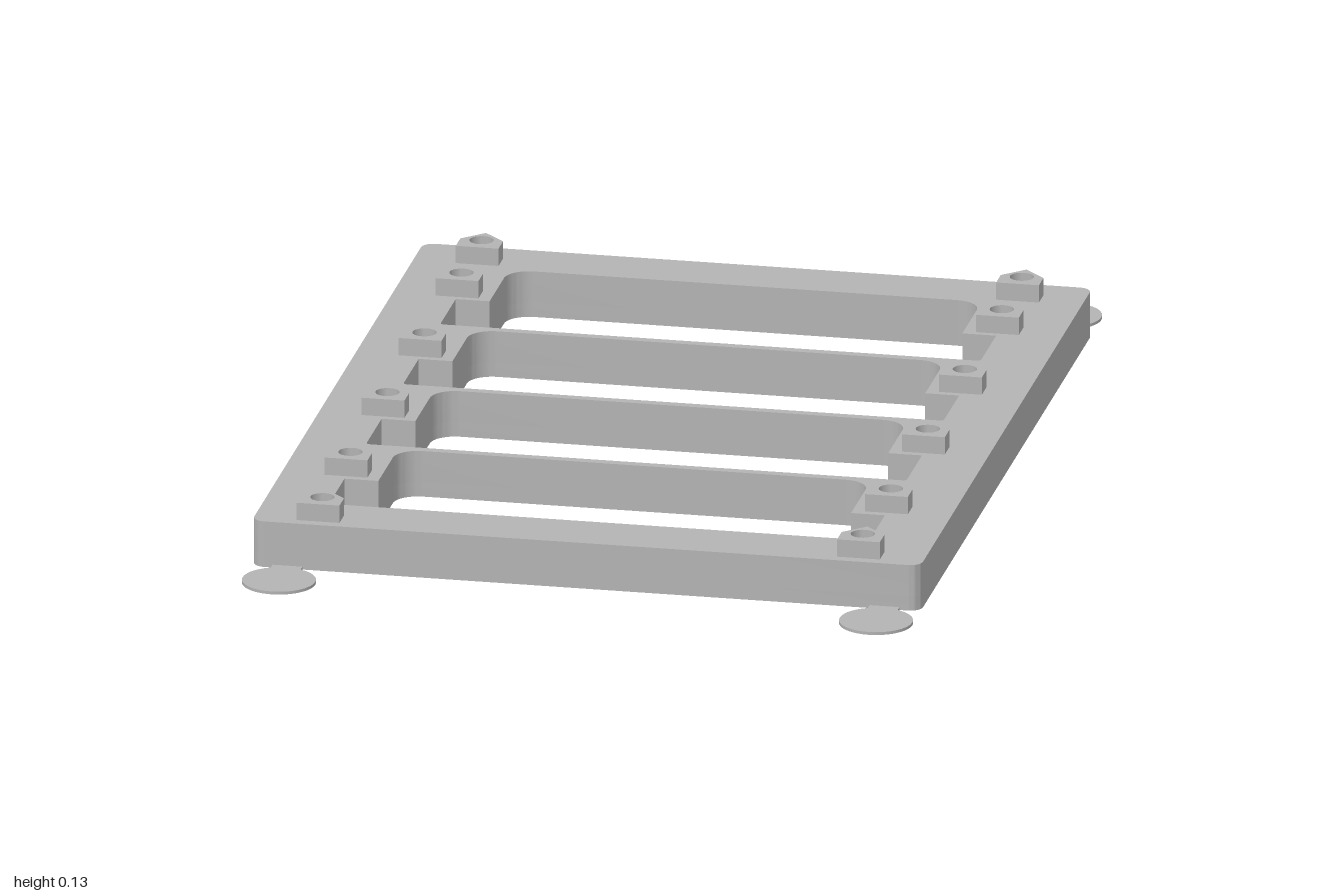
import * as THREE from 'three';
import { toCreasedNormals } from 'three/addons/utils/BufferGeometryUtils.js';

const HEIGHT = 0.095, SINK = 0.03, HOLE_R = 0.024, SINK_R = 0.043;
const HOLE_X = 0.543;
const HOLE_Z = [-0.782, -0.585, -0.222, 0.141, 0.504, 0.779];
const holeCentres = HOLE_Z.flatMap((z) => [[-HOLE_X, z], [HOLE_X, z]]);

// Traces a closed outline of [x, z, cornerRadius] points, rounding each corner.
function trace(path, pts) {
  const n = pts.length;
  const toward = (a, b, d) => {
    const len = Math.hypot(b[0] - a[0], b[1] - a[1]);
    return [a[0] + ((b[0] - a[0]) * d) / len, -(a[1] + ((b[1] - a[1]) * d) / len)];
  };
  pts.forEach((p, i) => {
    const prev = pts[(i + n - 1) % n], next = pts[(i + 1) % n], r = p[2] || 0;
    const a = toward(p, prev, r), b = toward(p, next, r);
    if (i === 0) path.moveTo(...a); else path.lineTo(...a);
    if (r) path.bezierCurveTo(...toward(p, prev, r * 0.45), ...toward(p, next, r * 0.45), ...b);
  });
  path.closePath();
  return path;
}

// Extrudes a plan shape upward from y = base.
function slab(shape, base, height) {
  const g = new THREE.ExtrudeGeometry(shape, { depth: height, bevelEnabled: false, curveSegments: 12 });
  g.rotateX(-Math.PI / 2).translate(0, base, 0);
  return toCreasedNormals(g, 0.6);
}

function circleHole(x, z, r) {
  return new THREE.Path().absarc(x, -z, r, 0, Math.PI * 2, true);
}

// Frame plan: rounded rectangle, four stepped windows and the screw holes.
function frameShape(holeRadius) {
  const X = 0.672, Z = 0.843, R = 0.025;
  const shape = trace(new THREE.Shape(), [[-X, Z, R], [X, Z, R], [X, -Z, R], [-X, -Z, R]]);
  for (let i = 0; i < 4; i++) {
    const back = -0.721 + i * 0.3637, step = back + 0.192, front = back + 0.345;
    shape.holes.push(trace(new THREE.Path(), [
      [-0.475, back, 0.05], [0.475, back, 0.05], [0.475, step], [0.543, step],
      [0.543, front, 0.008], [-0.543, front, 0.008], [-0.543, step], [-0.475, step],
    ]));
  }
  holeCentres.forEach(([x, z]) => shape.holes.push(circleHole(x, z, holeRadius)));
  return shape;
}

export function createModel() {
  const model = new THREE.Group();
  model.name = 'slottedFrame';
  const grey = new THREE.MeshStandardMaterial({ color: 0xb3b3b3 });
  grey.name = 'grey';
  const add = (name, geometry, x = 0, y = 0, z = 0) => {
    const mesh = new THREE.Mesh(geometry, grey);
    mesh.name = name;
    mesh.position.set(x, y, z);
    model.add(mesh);
  };

  // Main frame: lower layer has the wide mouths of the countersinks
  add('frameLower', slab(frameShape(SINK_R), 0, SINK));
  add('frameUpper', slab(frameShape(HOLE_R), SINK, HEIGHT - SINK));

  // Pointed bosses around the holes, with conical countersinks beneath
  const bossShape = trace(new THREE.Shape(), [
    [-0.043, 0.043], [0.043, 0.043], [0.043, -0.002], [0, -0.044], [-0.043, -0.002],
  ]);
  bossShape.holes.push(circleHole(0, 0, HOLE_R));
  const boss = slab(bossShape, HEIGHT, 0.036);
  const countersink = new THREE.LatheGeometry(
    [new THREE.Vector2(HOLE_R, SINK), new THREE.Vector2(SINK_R, 0)], 24);
  holeCentres.forEach(([x, z]) => {
    add('boss', boss, x, 0, z);
    add('countersink', countersink, x, 0, z);
  });

  // Thin round corner pads joined to the frame by short tabs
  const pad = new THREE.CylinderGeometry(0.073, 0.073, 0.006, 40);
  const tab = new THREE.BoxGeometry(0.06, 0.006, 0.04);
  for (const sx of [-1, 1]) {
    for (const sz of [-1, 1]) {
      add('cornerPad', pad, sx * 0.6, 0.003, sz * 0.927);
      add('padTab', tab, sx * 0.6, 0.003, sz * 0.855);
    }
  }
  return model;
}
